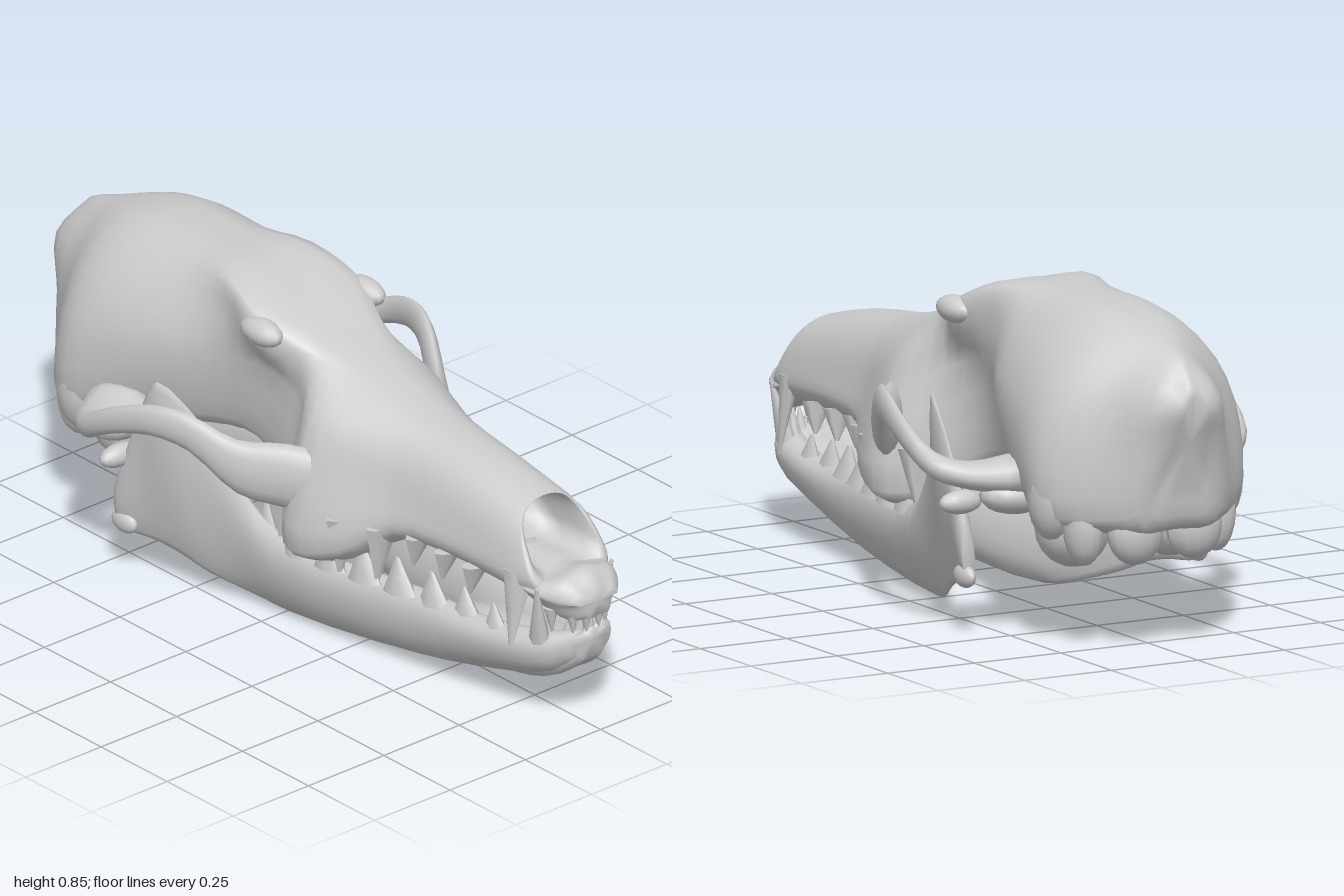
import * as THREE from 'three';

const { lerp, smoothstep } = THREE.MathUtils;
const bone = new THREE.MeshStandardMaterial({ color: 0xcccccc });
const V = (x, y, z) => new THREE.Vector3(x, y, z);

// Smooth skin over closed rings running front to back, with capped ends.
function loft(rings, around = 3, along = 3) {
  const n = rings[0].length * around;
  const dense = rings.map(r => {
    const c = new THREE.CatmullRomCurve3(r, true, 'centripetal');
    return Array.from({ length: n }, (_, i) => c.getPoint(i / n));
  });
  const rows = (rings.length - 1) * along + 1;
  const pos = [], idx = [];
  const paths = Array.from({ length: n }, (_, j) =>
    new THREE.CatmullRomCurve3(dense.map(r => r[j]), false, 'centripetal'));
  for (let i = 0; i < rows; i++)
    for (let j = 0; j < n; j++) pos.push(...paths[j].getPoint(i / (rows - 1)).toArray());
  for (let i = 0; i < rows - 1; i++)
    for (let j = 0; j < n; j++) {
      const k = (j + 1) % n, a = i * n + j, b = i * n + k, c = b + n, d = a + n;
      idx.push(a, b, d, b, c, d);
    }
  for (const end of [0, rings.length - 1]) {
    const mid = V(0, 0, 0);
    dense[end].forEach(p => mid.addScaledVector(p, 1 / n));
    const m = pos.length / 3, base = end ? (rows - 1) * n : 0;
    pos.push(...mid.toArray());
    for (let j = 0; j < n; j++) {
      const a = base + j, b = base + (j + 1) % n;
      idx.push(m, ...(end ? [a, b] : [b, a]));
    }
  }
  const g = new THREE.BufferGeometry();
  g.setAttribute('position', new THREE.Float32BufferAttribute(pos, 3));
  g.setIndex(idx);
  g.computeVertexNormals();
  return g;
}

// Symmetric section: flat roof, brow, side, lower edge and arched palate.
function section([z, top, wTop, wMid, yMid, wLow, bottom], palate = 0) {
  const right = [
    [0, top], [wTop, top - 0.012],
    [Math.max(wTop * 1.1, lerp(wTop, wMid, 0.65)), lerp(top, yMid, 0.42)],
    [wMid, yMid], [wLow, bottom + 0.04], [wLow * 0.7, bottom], [0, Math.max(bottom, palate)],
  ].map(([x, y]) => {
    // The back wall leans out to a point at the crest
    const lean = z < -0.9 ? 0.065 * Math.exp(-(((y - 0.64) / 0.1) ** 2)) : 0;
    return V(x, y, z - lean);
  });
  const left = right.slice(1, -1).reverse().map(p => V(-p.x, p.y, p.z));
  return [...right, ...left];
}

// Flattened bar along nodes [x, y, z, halfHeight, halfThickness].
function bar(nodes) {
  const path = new THREE.CatmullRomCurve3(nodes.map(n => V(n[0], n[1], n[2])));
  return loft(nodes.map(([x, y, z, h, w], i) => {
    const t = path.getTangent(i / (nodes.length - 1));
    const l = Math.hypot(t.x, t.z);
    return Array.from({ length: 6 }, (_, k) => {
      const a = k * Math.PI / 3, s = Math.sin(a) * w / l;
      return V(x - t.z * s, y + Math.cos(a) * h, z + t.x * s);
    });
  }), 2);
}

// Pointed tooth or spike from base to tip, flattened across x.
function spike(base, tip, r, flat = 0.6) {
  const a = V(...base), d = V(...tip).sub(a), h = d.length();
  const g = new THREE.CylinderGeometry(r * 0.12, r, h, 8, 2);
  g.translate(0, h / 2, 0).scale(flat, 1, 1);
  g.applyQuaternion(new THREE.Quaternion().setFromUnitVectors(V(0, 1, 0), d.normalize()));
  return g.translate(a.x, a.y, a.z);
}

const blob = (x, y, z, rx, ry, rz) =>
  new THREE.SphereGeometry(1, 14, 10).scale(rx, ry, rz).translate(x, y, z);

function mirrored(g) {
  const m = g.clone().scale(-1, 1, 1), a = m.index.array;
  for (let i = 0; i < a.length; i += 3) [a[i], a[i + 1]] = [a[i + 1], a[i]];
  m.computeVertexNormals();
  return m;
}

export function createModel() {
  const model = new THREE.Group();
  const add = (name, g) => {
    const mesh = new THREE.Mesh(g, bone);
    mesh.name = name;
    model.add(mesh);
  };
  const pair = (name, g) => { add(name + 'Left', g); add(name + 'Right', mirrored(g)); };

  // Snout and braincase: z, top, roof width, side width, side y, low width, bottom
  const skull = [
    [.78, .575, .06, .125, .45, .125, .36],
    [.62, .612, .06, .14, .46, .145, .36],
    [.4, .64, .07, .155, .47, .17, .345],
    [.27, .67, .08, .2, .48, .24, .26],
    [.13, .71, .09, .23, .52, .275, .225],
    [.02, .75, .125, .14, .58, .2, .24],
    [-.1, .8, .165, .125, .62, .115, .34],
    [-.25, .85, .14, .155, .62, .105, .38],
    [-.4, .85, .1, .235, .6, .18, .37],
    [-.6, .845, .1, .285, .57, .26, .32],
    [-.72, .825, .09, .285, .53, .28, .31],
    [-.84, .785, .05, .18, .54, .19, .31],
    [-.91, .75, .02, .11, .54, .12, .33],
    [-.93, .67, .015, .045, .57, .05, .43],
  ].map(row => section(row, row[0] > -.2 ? .37 : 0));
  // Nasal opening slopes forward below; its rim is shrunk and pushed inward
  skull[0].forEach(p => { p.z += (.575 - p.y) * .6; });
  const hollow = [[.6, -.2], [.82, -.01]].map(([s, dz]) =>
    skull[0].map(p => V(p.x * s, .49 + (p.y - .47) * s, p.z + dz)));
  add('cranium', loft([...hollow, ...skull]));

  // Front of the upper jaw, dipping behind its tip
  add('premaxilla', loft([
    [.995, .39, .025, .06, .365, .045, .325],
    [.95, .44, .045, .1, .375, .085, .31],
    [.87, .42, .06, .13, .385, .12, .335],
    [.72, .43, .06, .12, .42, .12, .365],
  ].map(row => section(row))));

  // Cheekbone: deep plate under the eye, slim arch, broad shelf over the jaw joint
  pair('cheekArch', bar([
    [.17, .43, .22, .09, .03], [.25, .45, .1, .09, .035], [.33, .465, 0, .075, .025],
    [.395, .54, -.11, .052, .02], [.435, .55, -.21, .043, .018], [.458, .505, -.34, .037, .016],
    [.435, .445, -.44, .035, .03], [.36, .42, -.485, .035, .065], [.23, .42, -.53, .055, .1],
  ]));
  pair('browRidge', blob(.17, .755, -.09, .038, .035, .07));

  // Underside of the braincase
  pair('earCapsule', blob(.14, .29, -.62, .095, .1, .1));
  pair('occipitalCondyle', blob(.085, .31, -.835, .075, .085, .055));
  pair('mastoidProcess', blob(.245, .39, -.69, .055, .11, .07));
  pair('throatProcess', blob(.19, .32, -.76, .05, .1, .06));
  pair('jointBlock', blob(.25, .37, -.53, .1, .05, .07));
  pair('pterygoidPlate', bar([
    [.11, .35, .02, .06, .03], [.08, .35, -.15, .07, .015], [.09, .35, -.5, .045, .025],
  ]));

  // Chin joining both halves of the lower jaw
  add('chin', loft([
    [.97, .28, .03, .05, .25, .045, .2],
    [.9, .25, .06, .095, .22, .09, .14],
    [.75, .215, .06, .11, .18, .09, .09],
    [.5, .17, .04, .08, .13, .06, .075],
  ].map(row => section(row))));

  // Lower jaw: z, top x, top y, bottom x, bottom y, half thickness
  pair('lowerJaw', loft([
    [.96, .04, .28, .03, .2, .03], [.9, .07, .265, .05, .145, .045],
    [.7, .11, .235, .06, .08, .05], [.45, .13, .235, .1, .035, .045],
    [.02, .215, .25, .155, .003, .04], [-.1, .25, .36, .2, .03, .03],
    [-.2, .29, .51, .25, .065, .025], [-.28, .35, .6, .28, .1, .018],
    [-.35, .345, .49, .3, .115, .018], [-.41, .34, .35, .32, .12, .02],
    [-.44, .34, .27, .33, .13, .015],
  ].map(([z, xt, yt, xb, yb, t]) =>
    [[1, 0], [.75, 1], [.25, 1], [0, 0], [.25, -1], [.75, -1]].map(([f, s]) =>
      V(lerp(xb, xt, f) + s * t, lerp(yb, yt, f), z)))));
  pair('jawCondyle', blob(.35, .34, -.425, .06, .03, .03));
  pair('jawAngle', blob(.335, .15, -.42, .02, .03, .045));

  // Canines
  pair('upperCanine', spike([.115, .42, .82], [.145, .22, .825], .045, .6));
  pair('lowerCanine', spike([.085, .2, .87], [.125, .4, .9], .04, .7));

  // Incisors
  for (let i = 0; i < 3; i++) {
    const x = .02 + i * .033, z = .965 - i * i * .014;
    pair('upperIncisor' + (i + 1), spike([x, .34, z], [x, .275, z + .005], .02, .9));
    pair('lowerIncisor' + (i + 1), spike([x * .8, .25, z - .03], [x * .8, .31, z - .02], .018, .9));
  }

  // Cheek teeth spread outward and grow toward the back
  for (let i = 0; i < 7; i++) {
    const z = .67 - i * .105, back = smoothstep(-z, -.5, -.2);
    const x = .125 + .07 * back;
    pair('upperCheekTooth' + (i + 1),
      spike([x, .38, z], [x + .01, i < 3 ? .3 : .22, z - .01], .045 + .02 * back, .45));
  }
  for (let i = 0; i < 8; i++) {
    const z = .73 - i * .107, x = lerp(.21, .11, smoothstep(z, 0, .7));
    pair('lowerCheekTooth' + (i + 1),
      spike([x, .21, z], [x, .285 + .006 * i, z - .01], .045 + .015 * Math.sin(i * .45), .5));
  }

  return model;
}
